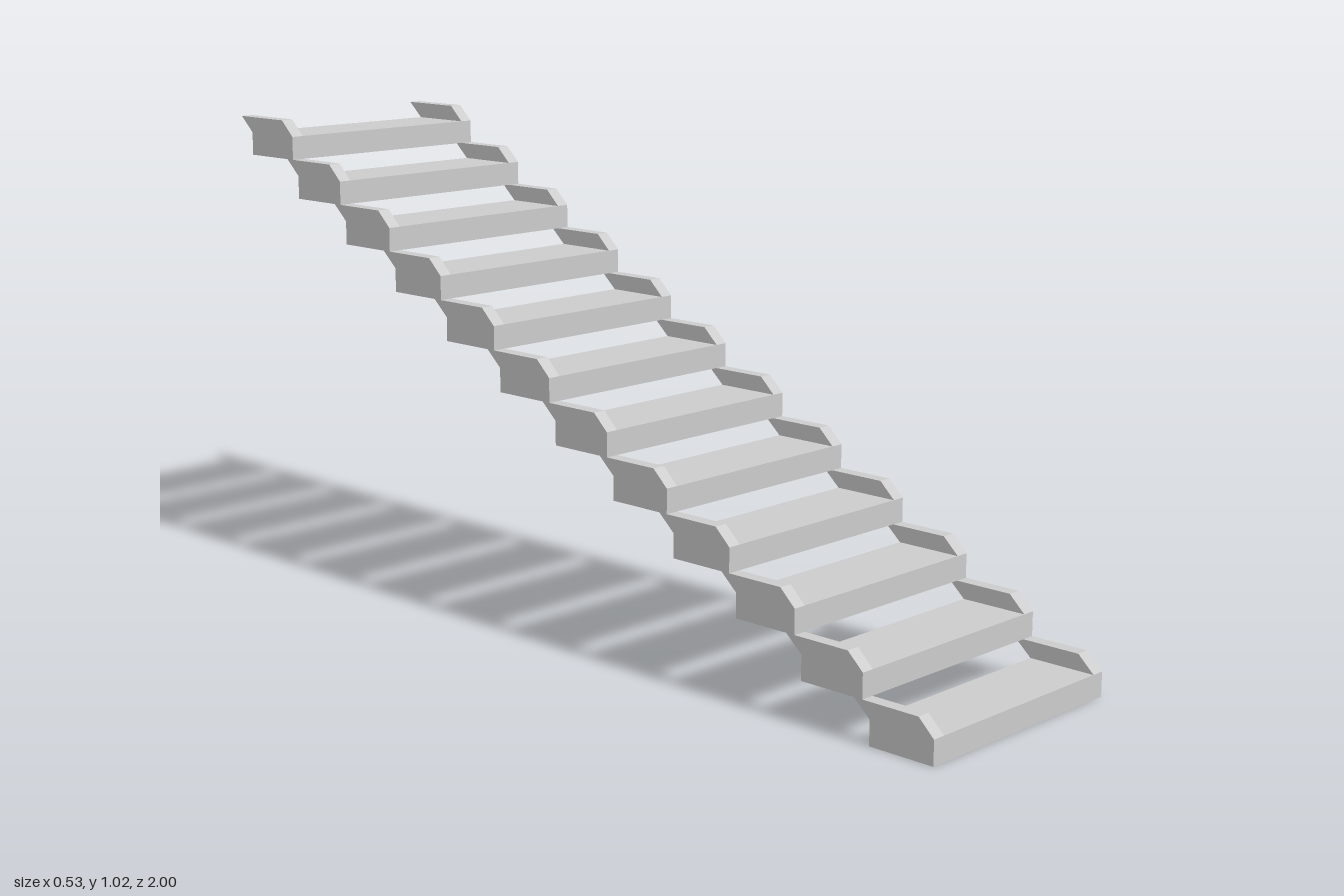
import * as THREE from 'three';

export function createModel() {
  const group = new THREE.Group();
  group.name = 'staircase';
  const material = new THREE.MeshStandardMaterial({ color: 0xcccccc, flatShading: true });

  const steps = 12, rise = 0.0852, run = 0.165;
  const halfWidth = 0.263, cheekWidth = 0.029;
  const depth = 0.147, thickness = 0.051, slant = 0.036;

  // Full-width tread, front edge at z = 0, underside at y = 0
  const treadGeo = new THREE.BoxGeometry(halfWidth * 2, thickness, depth);
  treadGeo.translate(0, thickness / 2, -depth / 2);

  // Slanted side cheek that climbs to the next tread
  const profile = new THREE.Shape([
    new THREE.Vector2(0, thickness),
    new THREE.Vector2(depth, thickness),
    new THREE.Vector2(depth + slant + 0.002, rise),
    new THREE.Vector2(slant, rise),
  ]);
  const cheekGeo = new THREE.ExtrudeGeometry(profile, { depth: cheekWidth, bevelEnabled: false });
  cheekGeo.rotateY(Math.PI / 2);
  cheekGeo.translate(-cheekWidth / 2, 0, 0);

  for (let i = 0; i < steps; i++) {
    const step = new THREE.Group();
    step.name = 'step' + (i + 1);
    step.position.set(0, i * rise, 1 - i * run);

    const tread = new THREE.Mesh(treadGeo, material);
    tread.name = 'tread';
    step.add(tread);

    for (const side of [-1, 1]) {
      const cheek = new THREE.Mesh(cheekGeo, material);
      cheek.name = side > 0 ? 'leftCheek' : 'rightCheek';
      cheek.position.x = side * (halfWidth - cheekWidth / 2);
      step.add(cheek);
    }
    group.add(step);
  }
  return group;
}
